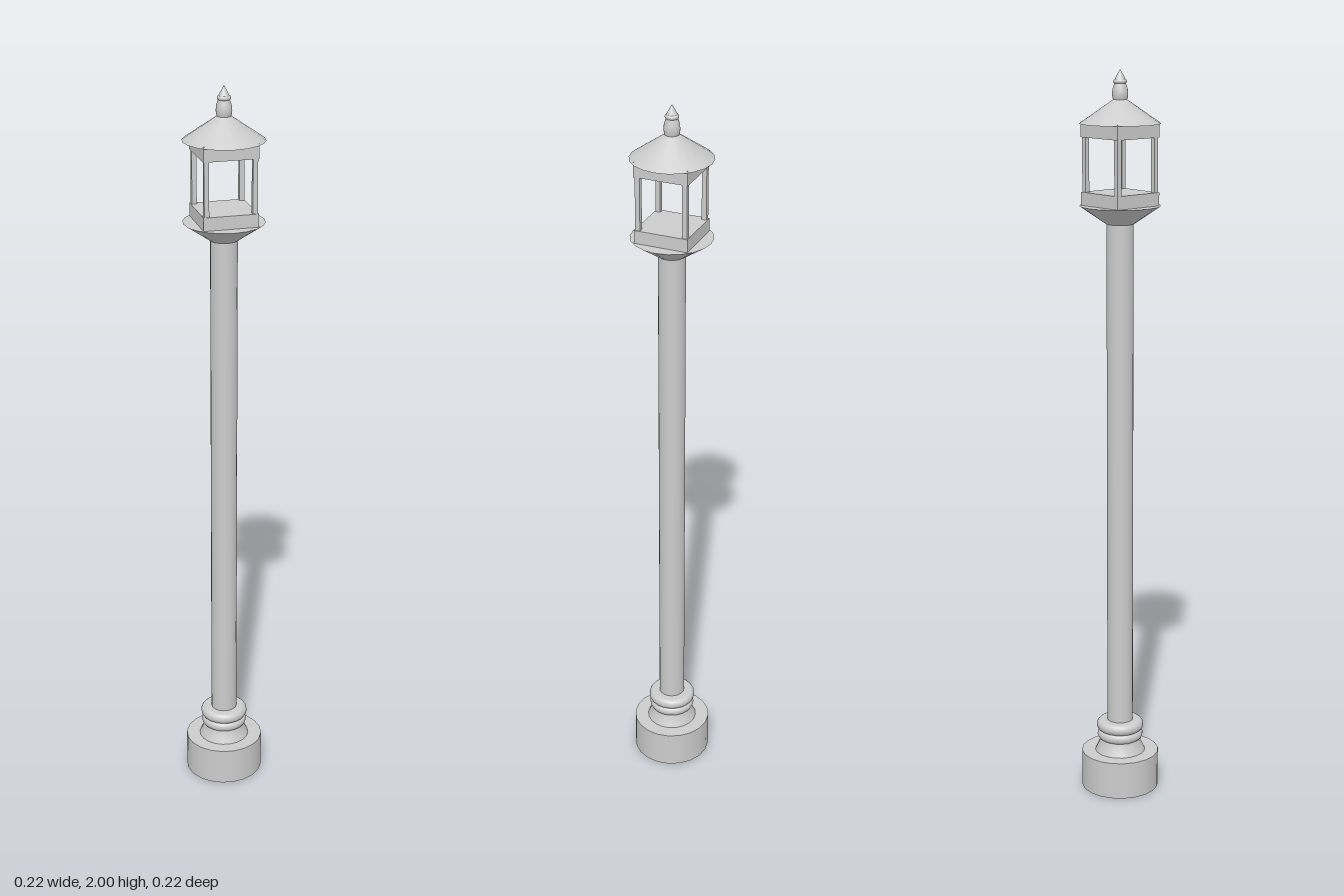
import * as THREE from 'three';

const material = new THREE.MeshStandardMaterial({ color: 0xcccccc });
const SIDES = 20;

function add(parent, name, geometry, x = 0, y = 0, z = 0) {
  const mesh = new THREE.Mesh(geometry, material);
  mesh.name = name;
  mesh.position.set(x, y, z);
  parent.add(mesh);
  return mesh;
}

// Round section between two heights, capped at both ends
function drum(parent, name, y0, r0, y1, r1, sides = SIDES) {
  const geometry = new THREE.CylinderGeometry(r1, r0, y1 - y0, sides);
  return add(parent, name, geometry, 0, (y0 + y1) / 2, 0);
}

// Smooth turned profile of [radius, height] pairs, bottom to top
function turned(parent, name, points) {
  const profile = points.map(([r, y]) => new THREE.Vector2(r, y));
  return add(parent, name, new THREE.LatheGeometry(profile, SIDES));
}

// Rounded collar: half-ellipse edge with flat closing faces
function collar(parent, name, y0, y1, inner, outer) {
  const points = [[0, y0]];
  for (let i = 0; i <= 8; i++) {
    const a = -Math.PI / 2 + (Math.PI * i) / 8;
    points.push([inner + (outer - inner) * Math.cos(a), (y0 + y1) / 2 + ((y1 - y0) / 2) * Math.sin(a)]);
  }
  points.push([0, y1]);
  return turned(parent, name, points);
}

export function createModel() {
  const model = new THREE.Group();
  model.name = 'lampPost';

  // Plinth, flared foot and two collars
  drum(model, 'plinth', 0, 0.108, 0.105, 0.108);
  turned(model, 'flaredFoot', [[0.07, 0.105], [0.064, 0.118], [0.058, 0.132], [0.055, 0.145]]);
  collar(model, 'lowerCollar', 0.14, 0.168, 0.052, 0.064);
  collar(model, 'upperCollar', 0.166, 0.197, 0.052, 0.066);

  // Shaft
  drum(model, 'shaft', 0.19, 0.036, 1.605, 0.036);

  // Lantern: dish, solid sill and head blocks, four corner bars
  const lantern = new THREE.Group();
  lantern.name = 'lantern';
  model.add(lantern);
  drum(lantern, 'dish', 1.6, 0.038, 1.648, 0.108);
  add(lantern, 'sill', new THREE.BoxGeometry(0.146, 0.038, 0.146), 0, 1.664, 0);
  add(lantern, 'head', new THREE.BoxGeometry(0.146, 0.04, 0.146), 0, 1.846, 0);
  const bar = new THREE.BoxGeometry(0.013, 0.15, 0.013);
  for (const x of [-1, 1]) {
    for (const z of [-1, 1]) add(lantern, 'cornerBar', bar, x * 0.064, 1.754, z * 0.064);
  }

  // Conical roof
  drum(lantern, 'roof', 1.862, 0.108, 1.924, 0.018);

  // Finial: bulb, neck ring and spike
  turned(model, 'finialBulb', [
    [0.017, 1.92], [0.02, 1.928], [0.021, 1.938], [0.02, 1.95], [0.016, 1.962], [0.015, 1.968]
  ]);
  collar(model, 'finialRing', 1.964, 1.976, 0.012, 0.018);
  drum(model, 'finialSpike', 1.974, 0.015, 2, 0.001);

  return model;
}
